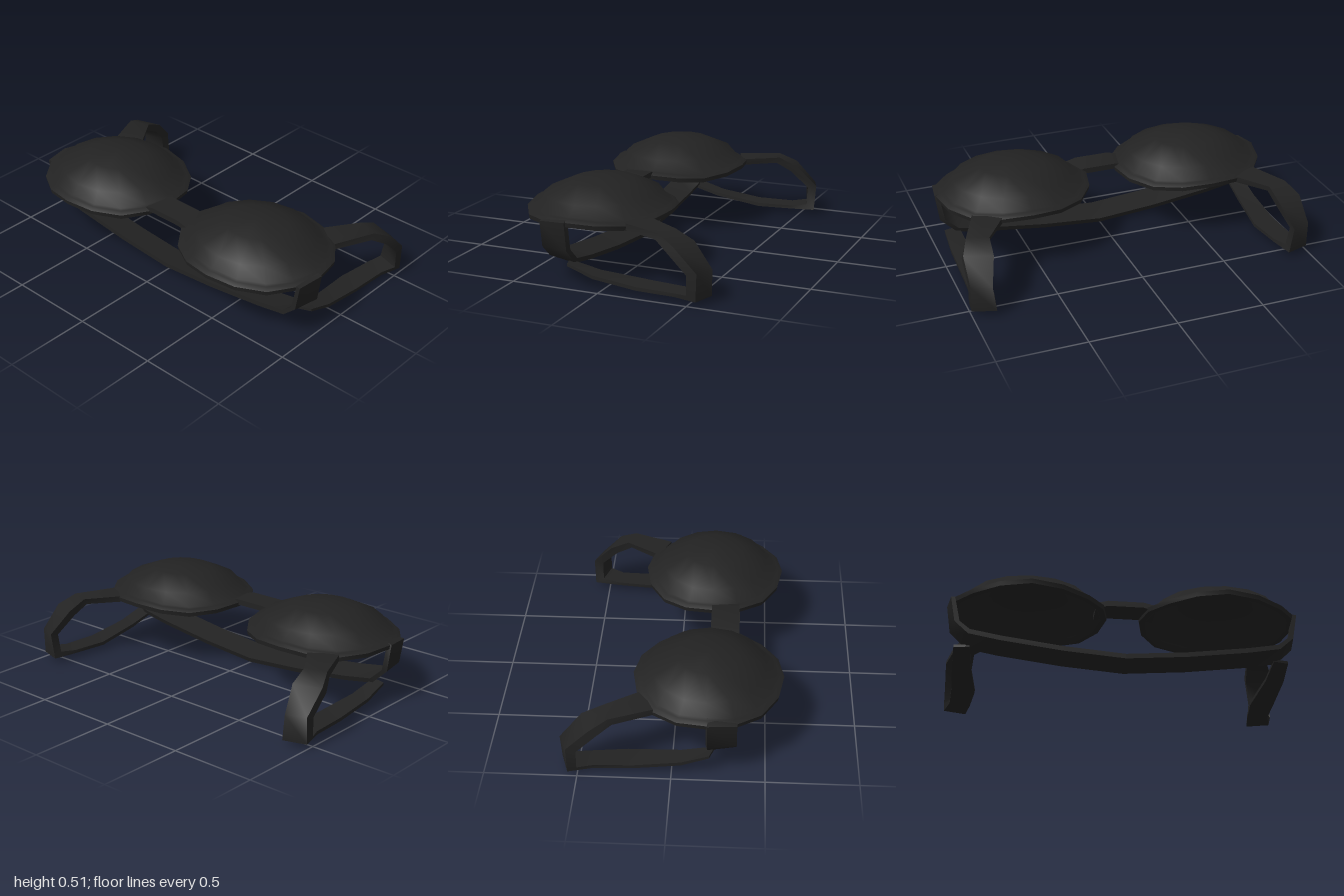
import * as THREE from 'three';
import { toCreasedNormals } from 'three/addons/utils/BufferGeometryUtils.js';

const material = new THREE.MeshStandardMaterial({ color: 0x222222 });

function part(name, geometry) {
  const mesh = new THREE.Mesh(toCreasedNormals(geometry, 0.9), material);
  mesh.name = name;
  return mesh;
}

// Closed strip skinned through four-cornered sections
// (corners run counter-clockwise when looking along the path)
function strip(sections) {
  const index = [0, 1, 2, 0, 2, 3];
  for (let i = 0; i < sections.length - 1; i++) {
    for (let j = 0; j < 4; j++) {
      const a = i * 4 + j, b = i * 4 + (j + 1) % 4;
      index.push(a, a + 4, b + 4, a, b + 4, b);
    }
  }
  const e = (sections.length - 1) * 4;
  index.push(e, e + 2, e + 1, e, e + 3, e + 2);
  const g = new THREE.BufferGeometry();
  g.setAttribute('position', new THREE.Float32BufferAttribute(sections.flat(2), 3));
  g.setIndex(index);
  return g;
}

// Mirror across x, reversing the corner order to keep faces outward
const mirrored = (sections) =>
  sections.map((s) => s.map(([x, y, z]) => [-x, y, z]).reverse());

// Thin-walled dome with a small flared, slightly wavy rim
function cup(side) {
  const profile = [
    [0, 0.49], [0.17, 0.47], [0.31, 0.41], [0.37, 0.345], [0.4, 0.32],
    [0.425, 0.325], [0.43, 0.35], [0.405, 0.365], [0.385, 0.37],
    [0.33, 0.43], [0.178, 0.495], [0, 0.515],
  ].map(([r, y]) => new THREE.Vector2(r, y));
  const g = new THREE.LatheGeometry(profile, 16);
  const p = g.attributes.position;
  for (let i = 0; i < p.count; i++) {
    const x = p.getX(i), z = p.getZ(i);
    if (Math.hypot(x, z) > 0.36) {
      p.setY(i, p.getY(i) + 0.01 * Math.cos(4 * Math.atan2(z, x)));
    }
  }
  g.scale(1.05, 1, 0.953);
  g.translate(side * 0.54, 0, 0.183);
  return g;
}

// Shoulder strap: outer edge, inner edge, thickness offset
const strapSections = [
  [[0.86, 0.355, -0.10], [0.70, 0.355, -0.17], [0, -0.035, 0]],
  [[0.955, 0.355, -0.33], [0.835, 0.355, -0.37], [0, -0.035, 0.02]],
  [[1.0, 0.305, -0.43], [0.845, 0.305, -0.48], [0, -0.035, 0.035]],
  [[1.0, 0.18, -0.555], [0.89, 0.18, -0.597], [0, -0.015, 0.055]],
  [[1.0, 0.03, -0.55], [0.87, 0.03, -0.59], [0, 0.03, 0.05]],
  [[0.965, 0.03, -0.42], [0.845, 0.03, -0.45], [0, 0.02, 0]],
  [[0.955, 0.03, -0.20], [0.82, 0.03, -0.24], [0, 0.02, 0]],
  [[0.955, 0.06, 0.05], [0.85, 0.06, 0.05], [0, 0.02, 0]],
  [[0.95, 0.11, 0.20], [0.86, 0.105, 0.23], [0, 0.015, 0]],
].map(([o, i, n]) => {
  const shift = (v) => v.map((c, k) => c + n[k]);
  return [o, i, shift(i), shift(o)];
});

// Band: outer point and inward direction, from the left end to the middle
const bandHalf = [
  [0.95, 0.378, 0, -1], [0.998, 0.36, -0.9, -0.4], [0.975, 0.2, -1, 0.1],
  [0.88, 0.108, -0.3, 0.95], [0.7, 0.075, -0.15, 1],
  [0.35, 0.03, -0.1, 1], [0, 0.002, 0, 1],
];
const bandRing = ([x, y, nx, ny]) => {
  const at = (d, z) => [x + nx * d, y + ny * d, z];
  return [at(0, 0.19), at(0.028, 0.18), at(0.053, 0.345), at(0.025, 0.345)];
};
const bandPath = [
  ...bandHalf,
  ...bandHalf.slice(0, -1).reverse().map(([x, y, nx, ny]) => [-x, y, -nx, ny]),
];

// Bridge between the cups: x, underside, top
const bridgeSections = [
  [0.17, 0.33, 0.362], [0.1, 0.348, 0.38], [-0.1, 0.348, 0.38], [-0.17, 0.33, 0.362],
].map(([x, b, t]) => [[x, b, 0.18], [x, t, 0.18], [x, t, 0.34], [x, b, 0.34]]);

export function createModel() {
  const model = new THREE.Group();
  model.name = 'bra';
  model.add(
    part('leftCup', cup(1)),
    part('rightCup', cup(-1)),
    part('leftStrap', strip(strapSections)),
    part('rightStrap', strip(mirrored(strapSections))),
    part('backBand', strip(bandPath.map(bandRing))),
    part('centreBridge', strip(bridgeSections)),
  );
  return model;
}
